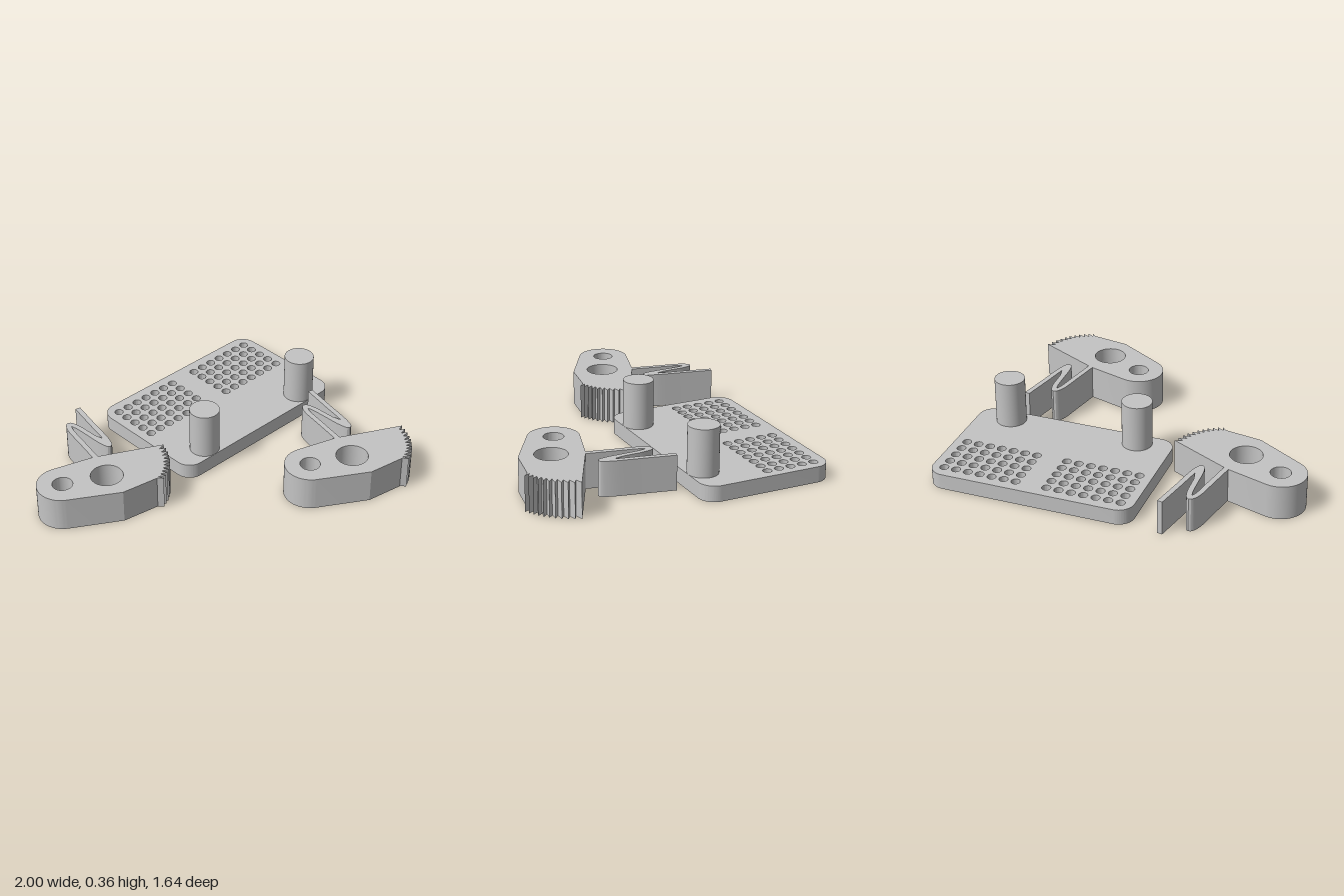
import * as THREE from 'three';
import { toCreasedNormals } from 'three/addons/utils/BufferGeometryUtils.js';

const grey = new THREE.MeshStandardMaterial({ color: 0xc4c4c4 });
grey.name = 'plain grey';

function addMesh(parent, name, geometry) {
  const mesh = new THREE.Mesh(geometry, grey);
  mesh.name = name;
  parent.add(mesh);
  return mesh;
}

// Extrude a counter-clockwise plan outline (x, -z) upwards from the ground
function slab(shape, height) {
  const g = new THREE.ExtrudeGeometry(shape, { depth: height, bevelEnabled: false, curveSegments: 20 });
  g.rotateX(-Math.PI / 2);
  return toCreasedNormals(g, 0.35);
}

function addHole(shape, x, z, r) {
  const hole = new THREE.Path();
  hole.absarc(x, -z, r, 0, Math.PI * 2, true);
  shape.holes.push(hole);
}

// Rounded base plate with two blocks of 7 x 5 holes
function plateGeometry() {
  const x0 = -0.176, x1 = 1, y0 = 0.058, y1 = 0.821, r = 0.09, q = Math.PI / 2;
  const s = new THREE.Shape();
  s.moveTo(x0 + r, y0);
  s.absarc(x1 - r, y0 + r, r, -q, 0, false);
  s.absarc(x1 - r, y1 - r, r, 0, q, false);
  s.absarc(x0 + r, y1 - r, r, q, 2 * q, false);
  s.absarc(x0 + r, y0 + r, r, 2 * q, 3 * q, false);
  for (const start of [-0.102, 0.503])
    for (let i = 0; i < 7; i++)
      for (let j = 0; j < 5; j++) addHole(s, start + i * 0.071, -0.744 + j * 0.071, 0.025);
  return slab(s, 0.09);
}

// Cam lever: round pivot end, angled flanks and a toothed gripping edge
function camGeometry() {
  const s = new THREE.Shape();
  s.moveTo(-0.666, 0.056);
  s.lineTo(-0.452, 0.02);
  const teeth = 10, cx = -0.634, cy = 0.23;
  for (let i = teeth * 2; i >= 0; i--) {
    const t = i / (teeth * 2);
    const a = -0.022 - t * 0.826;
    const r = 0.413 - 0.098 * t - (i % 2 ? 0.038 : 0);
    s.lineTo(cx + r * Math.cos(a), cy + r * Math.sin(a));
  }
  s.lineTo(-0.58, 0.404);
  s.absarc(-0.858, 0.34, 0.144, Math.PI * 0.405, Math.PI * 1.328, false);
  s.closePath();
  addHole(s, -0.858, -0.34, 0.057);
  addHole(s, -0.634, -0.23, 0.091);
  return slab(s, 0.2);
}

// Zigzag leaf spring: constant-width strip along a smooth path
function springGeometry() {
  const path = [
    [-0.575, 0.393], [-0.543, 0.55], [-0.508, 0.705], [-0.484, 0.735], [-0.468, 0.69],
    [-0.462, 0.585], [-0.458, 0.475], [-0.446, 0.429], [-0.426, 0.47], [-0.388, 0.645], [-0.35, 0.822],
  ].map(([x, y]) => new THREE.Vector3(x, y, 0));
  const curve = new THREE.CatmullRomCurve3(path);
  const left = [], right = [], n = 60, half = 0.015;
  for (let i = 0; i <= n; i++) {
    const p = curve.getPoint(i / n), d = curve.getTangent(i / n);
    left.unshift(new THREE.Vector2(p.x - d.y * half, p.y + d.x * half));
    right.push(new THREE.Vector2(p.x + d.y * half, p.y - d.x * half));
  }
  return slab(new THREE.Shape([...right, ...left]), 0.2);
}

export function createModel() {
  const model = new THREE.Group();
  model.name = 'camLeverKit';

  // Base plate and its two pivot posts
  const base = new THREE.Group();
  base.name = 'base';
  model.add(base);
  addMesh(base, 'perforatedPlate', plateGeometry());
  const post = new THREE.CylinderGeometry(0.086, 0.086, 0.28, 40);
  for (const [name, x] of [['rightPost', 0.029], ['leftPost', 0.798]])
    addMesh(base, name, post).position.set(x, 0.22, -0.145);

  // Two identical levers, each with its spring
  const cam = camGeometry(), spring = springGeometry();
  for (const [name, x, z] of [['backLever', 0.003, 0.002], ['frontLever', 1.108, 0.813]]) {
    const lever = new THREE.Group();
    lever.name = name;
    lever.position.set(x, 0, z);
    addMesh(lever, 'toothedCam', cam);
    addMesh(lever, 'zigzagSpring', spring);
    model.add(lever);
  }
  return model;
}
